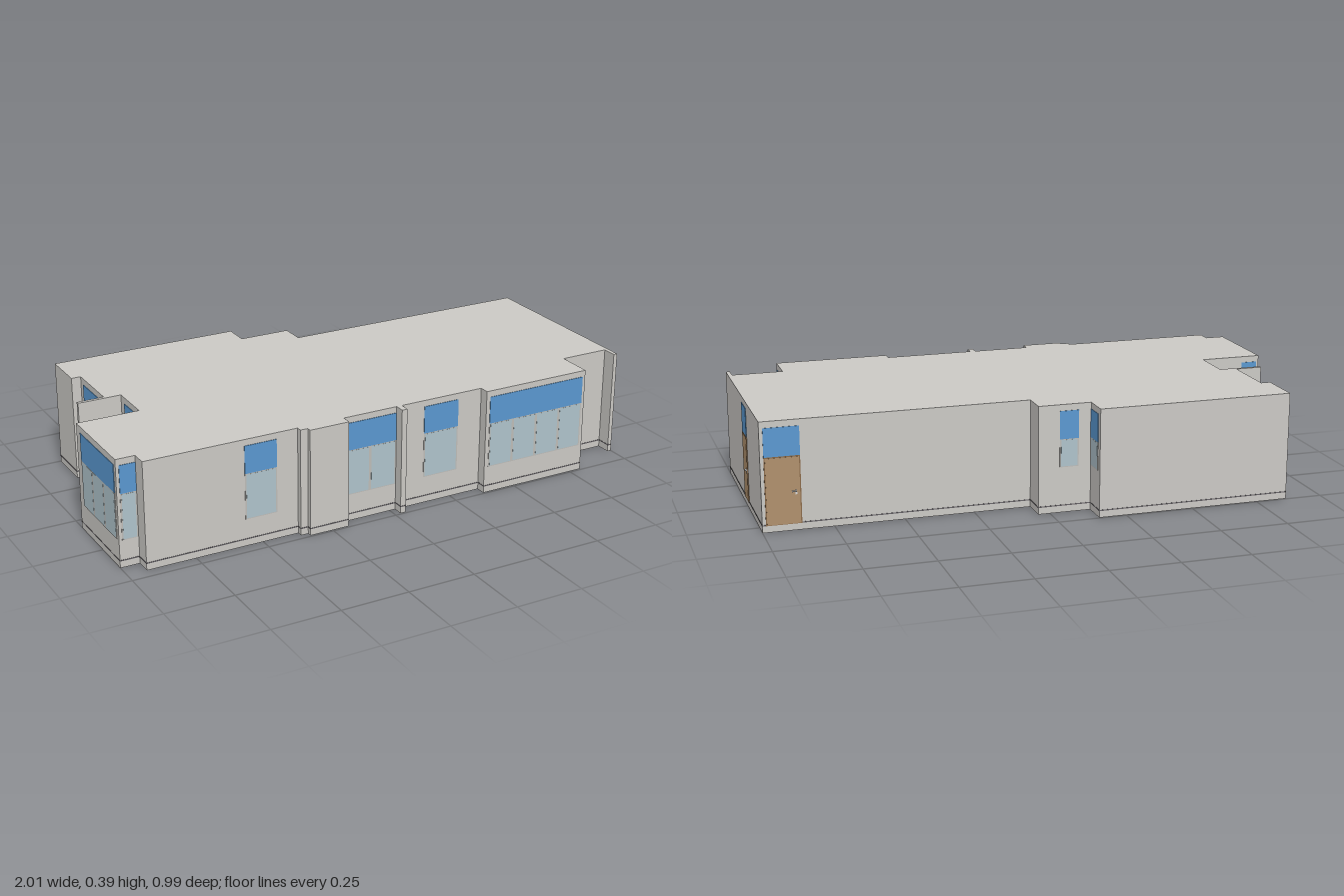
import * as THREE from 'three';

const mat = (name, color) => {
  const m = new THREE.MeshStandardMaterial({ color });
  m.name = name;
  return m;
};

const HEIGHT = 0.393;

// Footprint corners as [x, z], walked from the back wall round the +x side
const FOOTPRINT = [
  [-0.865, -0.496], [-0.15, -0.496], [-0.15, -0.4], [0.043, -0.4], [0.043, -0.308],
  [1, -0.308], [1, 0.415], [0.985, 0.415], [0.985, 0.36], [0.797, 0.36],
  [0.797, 0.494], [0.37, 0.494], [0.37, 0.457], [0.043, 0.457], [0.043, 0.494],
  [0.022, 0.494], [0.022, 0.457], [-0.187, 0.457], [-0.187, 0.494], [-0.337, 0.494],
  [-0.337, 0.477], [-0.365, 0.477], [-0.365, 0.457], [-0.93, 0.457], [-0.93, 0.4],
  [-1, 0.4], [-1, 0.06], [-0.77, 0.06], [-0.77, -0.1], [-0.93, -0.1],
  [-0.93, -0.113], [-0.83, -0.113], [-0.83, -0.33], [-0.865, -0.33],
];

const FRONT = 0, LEFT = Math.PI / 2, BACK = Math.PI, RIGHT = -Math.PI / 2;

export function createModel() {
  const wall = mat('wall plaster', 0xcbc9c5);
  const blue = mat('blue panel', 0x5a98d0);
  const glass = mat('window glass', 0xafc3cb);
  const frame = mat('window frame', 0xbdbcb8);
  const wood = mat('door wood', 0xb0906c);
  const darkWood = mat('door frame wood', 0x8a6a48);
  const dark = mat('plinth joint', 0x69666a);
  const metal = mat('handle metal', 0xd8d8d8);

  const model = new THREE.Group();
  model.name = 'building';

  const box = (parent, name, m, w, h, d, x, y, z) => {
    const mesh = new THREE.Mesh(new THREE.BoxGeometry(w, h, d), m);
    mesh.name = name;
    mesh.position.set(x, y, z);
    parent.add(mesh);
    return mesh;
  };

  // Solid body with flat roof
  const shape = new THREE.Shape(FOOTPRINT.map(([x, z]) => new THREE.Vector2(x, -z)));
  const bodyGeo = new THREE.ExtrudeGeometry(shape, { depth: HEIGHT, bevelEnabled: false });
  bodyGeo.rotateX(-Math.PI / 2);
  const body = new THREE.Mesh(bodyGeo, wall);
  body.name = 'walls and roof';
  model.add(body);

  // Thin joint above the plinth, one strip on each wall
  const joint = new THREE.Group();
  joint.name = 'plinthJoint';
  model.add(joint);
  FOOTPRINT.forEach(([x0, z0], i) => {
    const [x1, z1] = FOOTPRINT[(i + 1) % FOOTPRINT.length];
    const w = Math.abs(x1 - x0), d = Math.abs(z1 - z0);
    box(joint, 'jointStrip', dark, Math.max(w, 0.002), 0.004, Math.max(d, 0.002),
      (x0 + x1) / 2, 0.026, (z0 + z1) / 2);
  });

  // Group whose local +z points out of the wall
  const onWall = (name, x, z, facing) => {
    const g = new THREE.Group();
    g.name = name;
    g.position.set(x, 0, z);
    g.rotation.y = facing;
    model.add(g);
    return g;
  };

  // Blue panel above a framed row of panes
  const addWindow = (name, x, z, facing, width, panes, sill = 0.1) => {
    const g = onWall(name, x, z, facing);
    const head = 0.268, h = head - sill;
    box(g, 'bluePanel', blue, width, 0.102, 0.004, 0, 0.319, 0);
    box(g, 'windowFrame', frame, width, h, 0.003, 0, (head + sill) / 2, 0);
    const step = width / panes;
    for (let i = 0; i < panes; i++) {
      box(g, 'pane', glass, step - 0.01, h - 0.006, 0.004,
        -width / 2 + (i + 0.5) * step, (head + sill) / 2, 0);
    }
  };

  // Blue panel above a wooden door with lever handle
  const addDoor = (name, x, z, facing, width) => {
    const g = onWall(name, x, z, facing);
    box(g, 'bluePanel', blue, width, 0.103, 0.004, 0, 0.3185, 0);
    box(g, 'doorFrame', darkWood, width, 0.243, 0.004, 0, 0.1455, 0);
    box(g, 'doorLeaf', wood, width - 0.008, 0.237, 0.006, 0, 0.1445, 0);
    box(g, 'handlePlate', metal, 0.006, 0.016, 0.008, width * 0.36, 0.137, 0);
    box(g, 'handleLever', metal, 0.016, 0.004, 0.006, width * 0.3, 0.141, 0.006);
  };

  // Front windows
  addWindow('frontSmallWindow', -0.505, 0.457, FRONT, 0.12, 1);
  addWindow('frontDoubleWindow', -0.083, 0.457, FRONT, 0.208, 2);
  addWindow('frontMiddleWindow', 0.205, 0.457, FRONT, 0.14, 1);
  addWindow('frontWideWindow', 0.585, 0.494, FRONT, 0.4, 4);
  addWindow('bayReturnWindow', 0.797, 0.451, LEFT, 0.06, 1);

  // Corner room windows
  addWindow('cornerFrontWindow', -0.96, 0.4, FRONT, 0.058, 1);
  addWindow('cornerSideWindow', -1, 0.24, RIGHT, 0.29, 3);
  addWindow('cornerBackWindow', -0.96, 0.06, BACK, 0.06, 1);

  // Recessed side wall and porch
  addWindow('sideWindow', -0.83, -0.215, RIGHT, 0.18, 2);
  addDoor('porchDoor', -0.77, -0.02, RIGHT, 0.1);

  // Back windows with high sills
  addWindow('backWindow', -0.07, -0.4, BACK, 0.07, 1, 0.166);
  addWindow('backReturnWindow', -0.15, -0.439, LEFT, 0.074, 1, 0.166);

  // Side and back doors
  addDoor('sideDoor', 1, 0.006, LEFT, 0.088);
  addDoor('backDoor', 0.925, -0.308, BACK, 0.125);

  return model;
}
